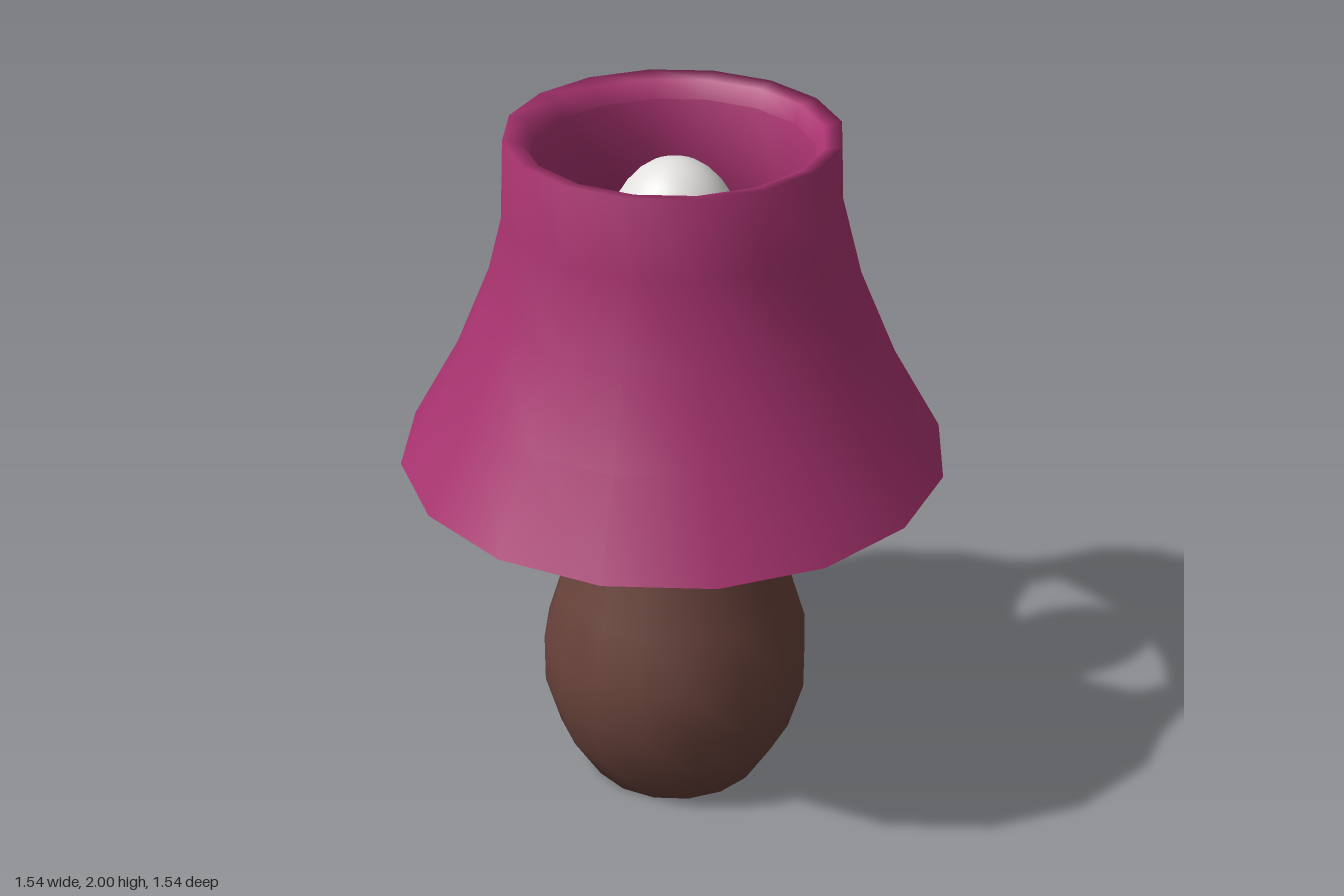
import * as THREE from 'three';

const SIDES = 16;

// Revolve a list of [radius, height] points; upward lists face outward.
function lathe(name, profile, material) {
  const points = profile.map(([r, y]) => new THREE.Vector2(r, y));
  const mesh = new THREE.Mesh(new THREE.LatheGeometry(points, SIDES), material);
  mesh.name = name;
  return mesh;
}

export function createModel() {
  const lamp = new THREE.Group();
  lamp.name = 'tableLamp';

  const fabric = new THREE.MeshStandardMaterial({ color: 0xa8336f });
  fabric.name = 'magenta fabric';
  const wood = new THREE.MeshStandardMaterial({ color: 0x68423a });
  wood.name = 'brown ceramic';
  const glass = new THREE.MeshStandardMaterial({ color: 0xe2e1df });
  glass.name = 'white glass';

  // Flared shade: outer wall rolling over the top rim
  const shade = new THREE.Group();
  shade.name = 'shade';
  shade.add(lathe('shadeOuter', [
    [0.77, 1.05], [0.63, 1.3], [0.525, 1.55], [0.465, 1.78], [0.455, 2.0],
    [0.405, 1.99], [0.385, 1.94],
  ], fabric));
  // Inner wall, narrowest just below the rim
  shade.add(lathe('shadeInner', [
    [0.385, 1.94], [0.345, 1.78], [0.43, 1.55], [0.58, 1.3], [0.77, 1.05],
  ], fabric));
  lamp.add(shade);

  // Vase-shaped base with shoulder, thin neck and bulb socket
  const stand = new THREE.Group();
  stand.name = 'stand';
  stand.position.z = 0.012;
  stand.add(lathe('base', [
    [0, 0], [0.26, 0], [0.345, 0.14], [0.388, 0.29], [0.388, 0.44],
    [0.34, 0.6], [0.235, 0.88], [0.22, 1.05], [0.205, 1.17], [0.17, 1.21],
    [0.105, 1.24], [0.092, 1.33], [0.125, 1.43], [0.175, 1.5], [0.188, 1.57],
    [0.17, 1.6], [0, 1.6],
  ], wood));

  // Egg-shaped bulb
  const bulb = new THREE.Mesh(new THREE.SphereGeometry(0.187, 24, 16), glass);
  bulb.name = 'bulb';
  bulb.scale.y = 1.35;
  bulb.position.set(0, 1.67, -0.005);
  stand.add(bulb);
  lamp.add(stand);

  return lamp;
}
